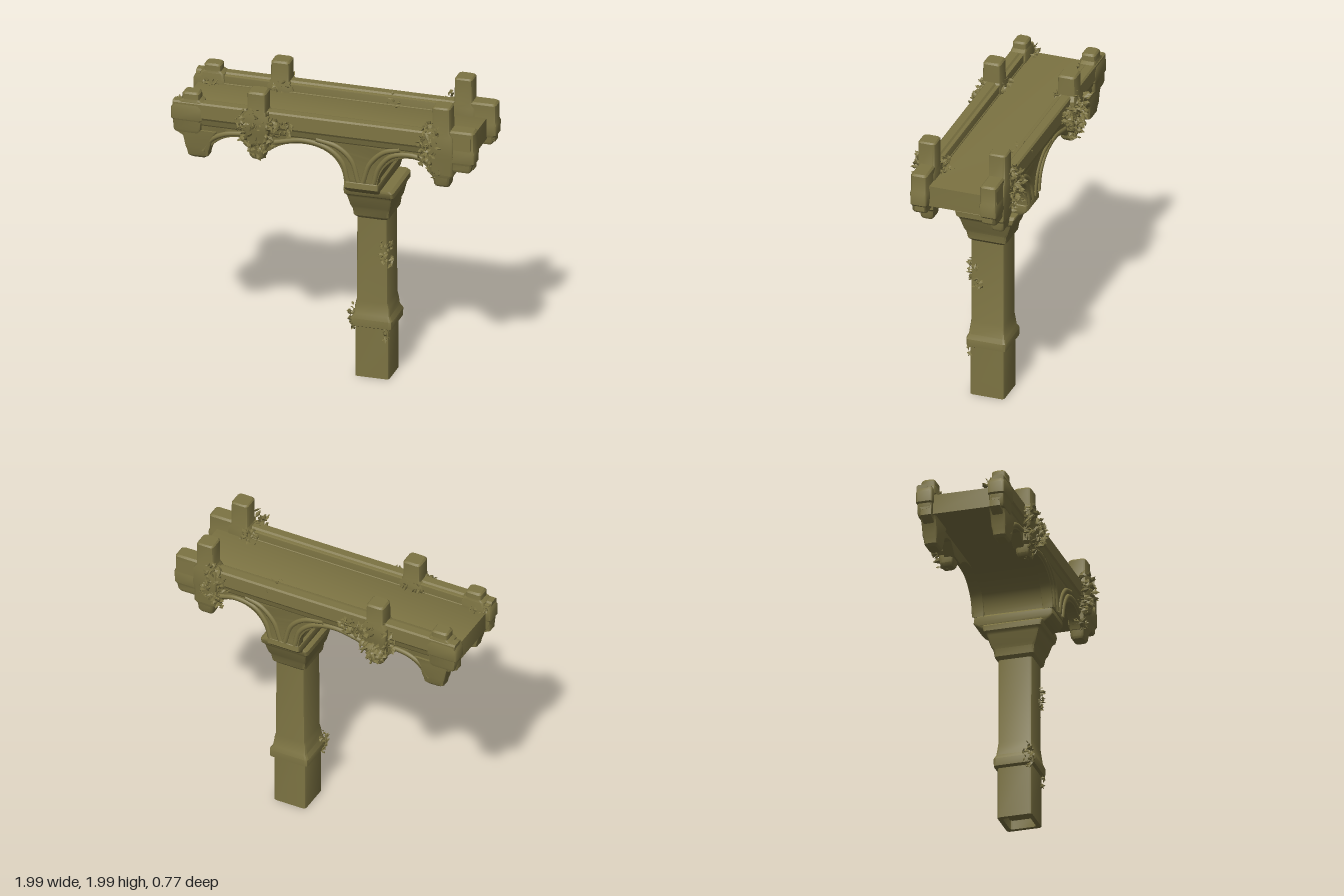
import * as THREE from 'three';
import { mergeGeometries, toCreasedNormals } from 'three/addons/utils/BufferGeometryUtils.js';

const stone = new THREE.MeshStandardMaterial({ color: 0x7d7443 });
stone.name = 'mossy stone';

let seed = 7;
const rand = () => (seed = (seed * 16807) % 2147483647) / 2147483647;

// Stack of rounded rectangles: rows of [y, half width x, half depth z]
function loft(rows, r = 0.018) {
  const pos = [], idx = [], n = 12;
  for (const [y, hx, hz] of rows) {
    for (let k = 0; k < n; k++) {
      const c = Math.floor(k / 3), a = (c + (k % 3) / 2) * Math.PI / 2;
      const sx = c === 0 || c === 3 ? 1 : -1, sz = c < 2 ? 1 : -1;
      pos.push(sx * (hx - r) + r * Math.cos(a), y, sz * (hz - r) + r * Math.sin(a));
    }
  }
  for (let j = 0; j < rows.length - 1; j++) {
    for (let i = 0; i < n; i++) {
      const a = j * n + i, b = j * n + (i + 1) % n;
      idx.push(a, a + n, b, b, a + n, b + n);
    }
  }
  const top = (rows.length - 1) * n;
  pos.push(0, rows[0][0], 0, 0, rows[rows.length - 1][0], 0);
  const c0 = rows.length * n;
  for (let i = 0; i < n; i++) {
    const k = (i + 1) % n;
    idx.push(c0, i, k, c0 + 1, top + k, top + i);
  }
  const g = new THREE.BufferGeometry();
  g.setAttribute('position', new THREE.Float32BufferAttribute(pos, 3));
  g.setIndex(idx);
  return toCreasedNormals(g, 0.6);
}

// Elevation shape extruded between two depths
function slab(shape, z0, z1, bevel = 0.008) {
  const g = new THREE.ExtrudeGeometry(shape, {
    depth: z1 - z0 - 2 * bevel, bevelEnabled: true, bevelSize: bevel,
    bevelThickness: bevel, bevelOffset: -bevel, bevelSegments: 2, curveSegments: 16
  });
  g.translate(0, 0, z0 + bevel);
  return toCreasedNormals(g, 0.6);
}

// Cross-section of [z, y] points run along x
function moulding(points, side, x0, x1) {
  const shape = new THREE.Shape(points.map(([z, y]) => new THREE.Vector2(z * side, y)));
  const g = new THREE.ExtrudeGeometry(shape, { depth: x1 - x0, bevelEnabled: false });
  g.rotateY(-Math.PI / 2).translate(x1, 0, 0);
  return g;
}

function arcadeShape() {
  const s = new THREE.Shape();
  s.moveTo(-0.98, 1.8);
  s.lineTo(-0.985, 1.6);
  s.lineTo(-0.91, 1.56);
  s.lineTo(-0.89, 1.46);
  s.lineTo(-0.77, 1.46);
  s.quadraticCurveTo(-0.71, 1.59, -0.56, 1.6);
  s.lineTo(-0.48, 1.53);
  s.lineTo(-0.36, 1.53);
  s.quadraticCurveTo(-0.27, 1.61, -0.13, 1.61);
  s.bezierCurveTo(0.02, 1.61, 0.12, 1.53, 0.13, 1.39);
  s.lineTo(0.35, 1.39);
  s.bezierCurveTo(0.36, 1.5, 0.44, 1.6, 0.57, 1.6);
  s.quadraticCurveTo(0.67, 1.6, 0.71, 1.5);
  s.lineTo(0.83, 1.5);
  s.lineTo(0.86, 1.57);
  s.lineTo(0.98, 1.58);
  s.lineTo(0.98, 1.8);
  return s;
}

function vaultShape() {
  const s = new THREE.Shape();
  s.moveTo(-0.96, 1.74);
  s.lineTo(-0.96, 1.61);
  s.lineTo(-0.15, 1.615);
  s.bezierCurveTo(0.02, 1.61, 0.13, 1.53, 0.14, 1.39);
  s.lineTo(0.34, 1.39);
  s.bezierCurveTo(0.36, 1.5, 0.44, 1.6, 0.57, 1.605);
  s.lineTo(0.93, 1.6);
  s.lineTo(0.93, 1.74);
  return s;
}

// Clump of small pointed leaves
function ivy([x, y, z], [rx, ry, rz], count, size = 0.026) {
  const leaves = [];
  for (let i = 0; i < count; i++) {
    const a = rand() * Math.PI * 2, u = rand() * 2 - 1, w = Math.sqrt(1 - u * u), d = 0.55 + 0.45 * rand();
    const s = size * (0.6 + 0.7 * rand());
    const g = new THREE.OctahedronGeometry(1).scale(s, s * 0.6, s * 0.25);
    g.rotateX(rand() * 6).rotateY(rand() * 6).rotateZ(rand() * 6);
    g.translate(x + rx * d * w * Math.cos(a), y + ry * d * u, z + rz * d * w * Math.sin(a));
    leaves.push(g);
  }
  return mergeGeometries(leaves);
}

export function createModel() {
  const model = new THREE.Group();
  const add = (name, geometry, x = 0, y = 0, z = 0) => {
    const m = new THREE.Mesh(geometry, stone);
    m.name = name;
    m.position.set(x, y, z);
    model.add(m);
    return m;
  };

  // Pillar with a hollow foot, base moulding and flared capital
  add('pillar', loft([
    [0.06, 0.085, 0.085], [0, 0.085, 0.085], [0, 0.112, 0.114], [0.34, 0.112, 0.114],
    [0.35, 0.134, 0.132], [0.4, 0.136, 0.134], [0.43, 0.118, 0.122], [0.49, 0.112, 0.114],
    [0.52, 0.104, 0.112], [1.09, 0.1, 0.112], [1.11, 0.118, 0.13], [1.16, 0.124, 0.138],
    [1.18, 0.134, 0.15], [1.25, 0.148, 0.172], [1.265, 0.155, 0.178], [1.275, 0.164, 0.19],
    [1.31, 0.164, 0.2], [1.325, 0.145, 0.2]
  ]), 0.268);

  // Springer block between capital and arches
  add('springer', loft([
    [1.3, 0.105, 0.2], [1.33, 0.112, 0.245], [1.35, 0.115, 0.262], [1.385, 0.114, 0.258],
    [1.4, 0.1, 0.245], [1.46, 0.1, 0.235]
  ]), 0.24);

  // Deck and vault underside
  add('deckVault', slab(vaultShape(), -0.205, 0.205));

  const railProfile = [[0.185, 1.7], [0.185, 1.745], [0.2, 1.755], [0.215, 1.8], [0.225, 1.81],
    [0.275, 1.81], [0.285, 1.8], [0.287, 1.71], [0.278, 1.695], [0.268, 1.66], [0.255, 1.64], [0.21, 1.64]];

  for (const s of [1, -1]) {
    const side = s > 0 ? 'front' : 'back';
    add(side + 'Arcade', s > 0 ? slab(arcadeShape(), 0.19, 0.262) : slab(arcadeShape(), -0.262, -0.19));
    add(side + 'Rail', moulding(railProfile, s, -0.985, 0.97));

    // Raised ribs following the arches and meeting over the pillar
    const ribs = [
      [[-0.32, 1.6], [-0.13, 1.635], [0.03, 1.6], [0.12, 1.52], [0.155, 1.4]],
      [[-0.05, 1.655], [0.09, 1.62], [0.18, 1.54], [0.225, 1.4]],
      [[0.325, 1.4], [0.36, 1.51], [0.44, 1.6], [0.57, 1.625], [0.68, 1.6]],
      [[0.255, 1.4], [0.3, 1.53], [0.39, 1.62], [0.5, 1.655]],
      [[-0.79, 1.48], [-0.74, 1.56], [-0.65, 1.61], [-0.52, 1.63]]
    ];
    for (const pts of ribs) {
      const path = new THREE.CatmullRomCurve3(pts.map(([x, y]) => new THREE.Vector3(x, y, s * 0.258)));
      add(side + 'ArchRib', new THREE.TubeGeometry(path, 24, 0.018, 8));
    }

    // Posts rising through the rail, with hanging ends below
    add(side + 'MiddlePost', loft([
      [1.48, 0.035, 0.035], [1.5, 0.05, 0.045], [1.55, 0.055, 0.05], [1.57, 0.072, 0.058], [1.66, 0.075, 0.06],
      [1.68, 0.085, 0.065], [1.78, 0.085, 0.065], [1.81, 0.062, 0.06], [1.93, 0.06, 0.058], [1.942, 0.05, 0.048]
    ]), -0.43, 0, s * 0.25);
    add(side + 'RightPost', loft([
      [1.445, 0.045, 0.035], [1.46, 0.052, 0.045], [1.51, 0.058, 0.05], [1.53, 0.08, 0.055], [1.64, 0.078, 0.058],
      [1.67, 0.085, 0.062], [1.79, 0.08, 0.062], [1.82, 0.06, 0.058], [1.98, 0.058, 0.058], [1.99, 0.05, 0.05]
    ]), 0.775, 0, s * 0.235);
    add(side + 'LeftPost', loft([
      [1.76, 0.085, 0.055], [1.81, 0.078, 0.05], [1.825, 0.056, 0.047], [1.86, 0.055, 0.046], [1.872, 0.045, 0.036]
    ]), -0.87, 0, s * 0.23);
    add(side + 'LeftCorbel', loft([
      [1.43, 0.05, 0.03], [1.445, 0.068, 0.042], [1.48, 0.075, 0.046], [1.5, 0.082, 0.05],
      [1.58, 0.1, 0.052], [1.62, 0.13, 0.052]
    ]), -0.825, 0, s * 0.225);
    add(side + 'LeftEndBlock', loft([
      [1.6, 0.08, 0.045], [1.62, 0.09, 0.05], [1.68, 0.095, 0.05], [1.69, 0.105, 0.055],
      [1.76, 0.105, 0.055], [1.79, 0.09, 0.05]
    ]), -0.892, 0, s * 0.235);
    add(side + 'RightEndBlock', loft([
      [1.56, 0.06, 0.045], [1.575, 0.07, 0.05], [1.61, 0.078, 0.05], [1.625, 0.092, 0.056],
      [1.7, 0.095, 0.057], [1.72, 0.087, 0.053], [1.825, 0.087, 0.053], [1.837, 0.075, 0.042]
    ]), 0.9, 0, s * 0.232);

    // Ivy around the posts
    add(side + 'MiddleIvy', ivy([-0.43, 1.68, s * 0.3], [0.15, 0.17, 0.06], 130));
    add(side + 'TrailingIvy', ivy([-0.28, 1.72, s * 0.3], [0.1, 0.06, 0.05], 40));
    add(side + 'HangingIvy', ivy([-0.42, 1.53, s * 0.27], [0.06, 0.06, 0.06], 24));
    add(side + 'RightIvy', ivy([0.7, 1.72, s * 0.3], [0.09, 0.16, 0.07], 100));
    add(side + 'LowerRightIvy', ivy([0.73, 1.54, s * 0.25], [0.08, 0.05, 0.05], 25));
  }

  // Smaller ivy tufts on deck and pillar
  const tufts = [
    [[0.69, 1.77, 0.17], [0.07, 0.06, 0.06], 35], [[-0.92, 1.77, 0.19], [0.07, 0.04, 0.06], 30],
    [[0.32, 1.77, -0.22], [0.06, 0.05, 0.07], 28], [[-0.45, 1.76, 0.19], [0.1, 0.05, 0.03], 24],
    [[-0.42, 1.77, -0.19], [0.1, 0.05, 0.03], 24], [[-0.87, 1.76, -0.18], [0.07, 0.04, 0.03], 18],
    [[0.35, 0.88, 0.09], [0.05, 0.09, 0.05], 40], [[0.37, 0.78, 0.06], [0.02, 0.05, 0.04], 10],
    [[0.14, 0.4, 0.1], [0.03, 0.1, 0.04], 32], [[0.36, 0.31, 0.11], [0.03, 0.05, 0.03], 16]
  ];
  for (const [c, r, n] of tufts) add('ivyTuft', ivy(c, r, n, 0.022));

  return model;
}
